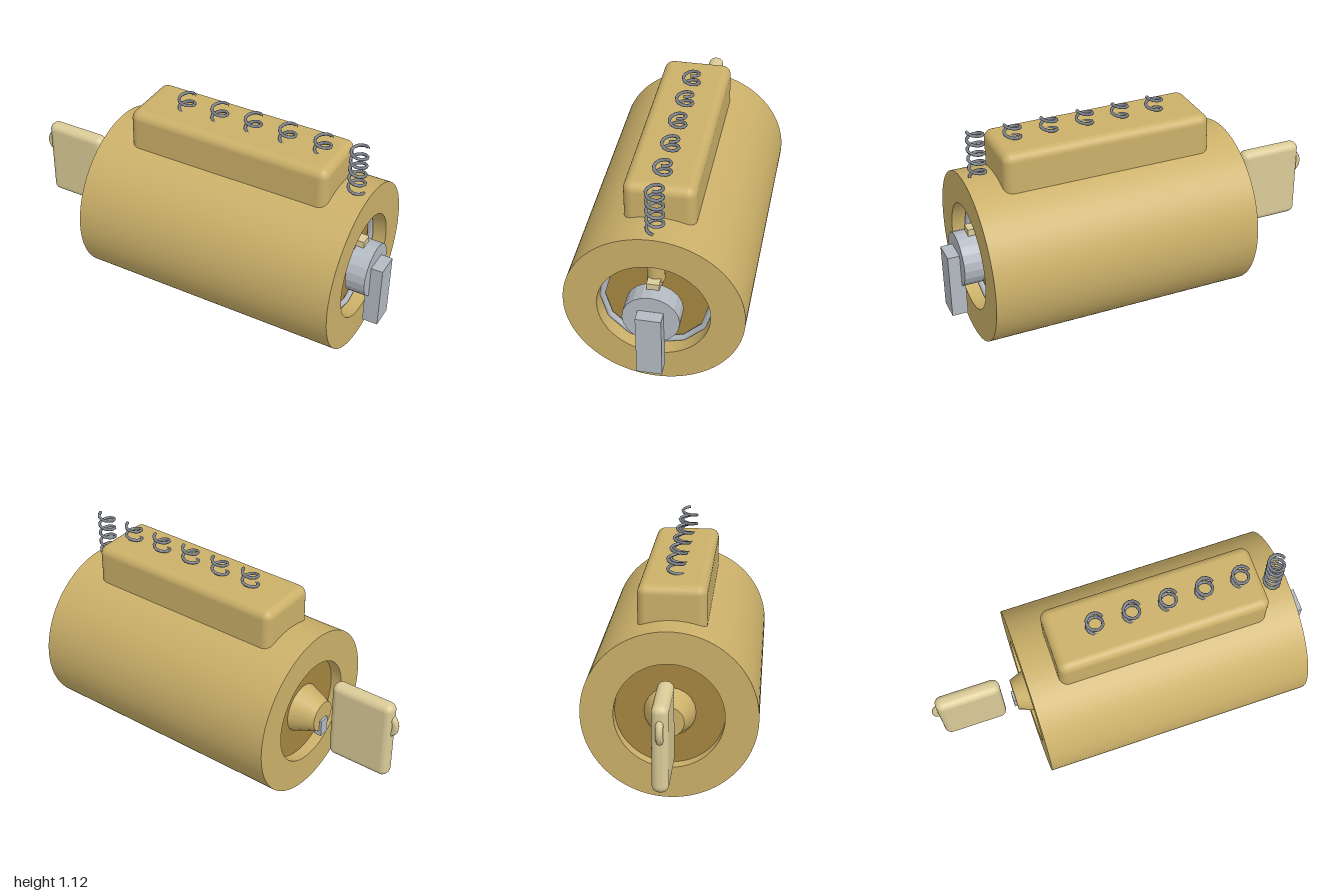
import * as THREE from 'three';
import { toCreasedNormals } from 'three/addons/utils/BufferGeometryUtils.js';
import { RoundedBoxGeometry } from 'three/addons/geometries/RoundedBoxGeometry.js';

const AXIS_Y = 0.433; // height of the lock's long axis
const BORE = 0.27;

const mat = (color, flatShading = false) => new THREE.MeshStandardMaterial({ color, flatShading });
const brass = mat(0xcbb069);
const darkBrass = mat(0xa5863f);
const keyBrass = mat(0xdacb98);
const steel = mat(0xb4bac2, true);
const ringSteel = mat(0xb4bac2);
const springSteel = mat(0x7d838c);

export function createModel() {
  const group = new THREE.Group();

  const add = (name, geometry, material, x, y, z = 0) => {
    const mesh = new THREE.Mesh(geometry, material);
    mesh.name = name;
    mesh.position.set(x, y, z);
    group.add(mesh);
    return mesh;
  };
  // Cylinder along x from x0 (radius r0) to x1 (radius r1)
  const rod = (name, x0, x1, r0, r1, sides, material) =>
    add(name, new THREE.CylinderGeometry(r1, r0, x1 - x0, sides).rotateZ(-Math.PI / 2),
      material, (x0 + x1) / 2, AXIS_Y);

  // Outer shell: thick tube
  const section = new THREE.Shape().absarc(0, 0, 0.433, 0, Math.PI * 2, false);
  section.holes.push(new THREE.Path().absarc(0, 0, BORE, 0, Math.PI * 2, true));
  const shell = new THREE.ExtrudeGeometry(section, { depth: 1.39, bevelEnabled: false, curveSegments: 64 });
  shell.rotateY(Math.PI / 2);
  add('shell', toCreasedNormals(shell, 0.6), brass, -0.51, AXIS_Y);

  // Plug inside the bore, with the tapered key guide
  rod('plug', -0.45, 0.78, BORE, BORE, 64, darkBrass);
  rod('keyGuide', -0.575, -0.45, 0.08, 0.127, 20, brass);
  add('keyway', new THREE.BoxGeometry(0.04, 0.09, 0.055), steel, -0.567, 0.375);

  // Tail end: retaining ring, spindle, cam disc and tail bar
  add('retainingRing', new THREE.TorusGeometry(0.262, 0.015, 8, 12).rotateY(Math.PI / 2), ringSteel, 0.8, AXIS_Y);
  rod('spindle', 0.77, 0.85, 0.08, 0.08, 20, darkBrass);
  rod('camDisc', 0.84, 0.94, 0.137, 0.137, 20, steel);
  add('tailBar', new THREE.BoxGeometry(0.08, 0.34, 0.122), steel, 0.96, 0.315);

  // Pin chamber block on top
  add('pinHousing', new RoundedBoxGeometry(1.075, 0.305, 0.34, 4, 0.045), brass, 0.1825, 0.8825);

  // Exposed driver pin and key tip
  add('driverPin', new THREE.CylinderGeometry(0.043, 0.043, 0.26, 16), brass, 0.8, 0.7);
  add('keyTip', new THREE.BoxGeometry(0.1, 0.06, 0.06), keyBrass, 0.83, 0.57);

  // Row of coil springs
  const turns = 5;
  const coil = [];
  for (let i = 0; i <= turns * 8; i++) {
    const a = (i / 8) * Math.PI * 2;
    coil.push(new THREE.Vector3(Math.cos(a) * 0.04, (i / (turns * 8)) * 0.25, Math.sin(a) * 0.04));
  }
  const spring = new THREE.TubeGeometry(new THREE.CatmullRomCurve3(coil), turns * 12, 0.008, 6);
  for (let i = 0; i < 6; i++) add('spring' + (i + 1), spring, springSteel, -0.122 + i * 0.185, 0.865);

  // Key bow with its ring
  add('keyBow', new RoundedBoxGeometry(0.335, 0.428, 0.08, 4, 0.036), keyBrass, -0.8025, 0.468);
  add('keyRing', new THREE.TorusGeometry(0.057, 0.018, 8, 20), keyBrass, -0.925, 0.56);

  return group;
}
